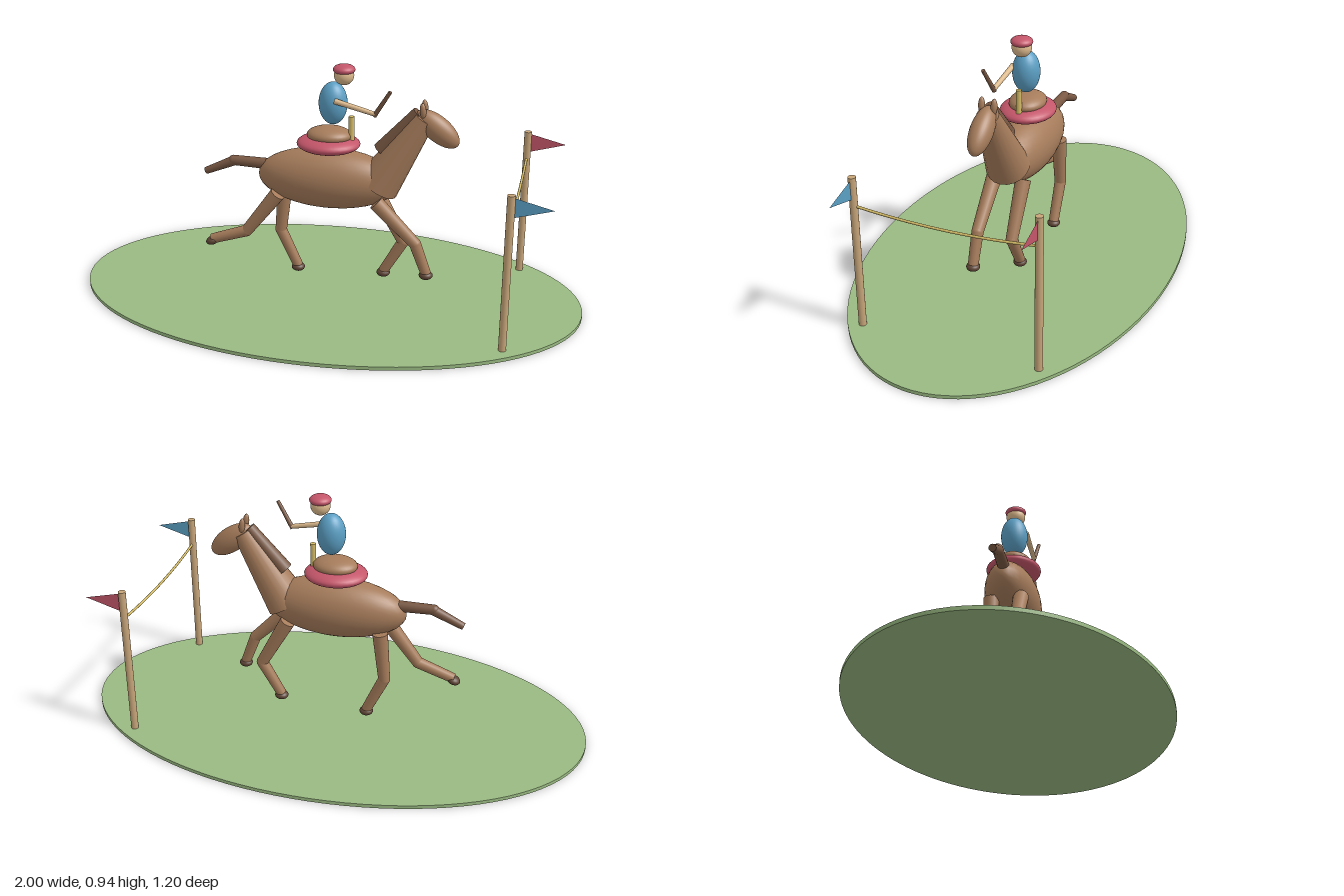
import * as THREE from 'three';

export function createModel() {
  const root = new THREE.Group();
  root.name = 'jumpingHorseScene';

  const mat = (name, color, side = THREE.FrontSide) => {
    const m = new THREE.MeshStandardMaterial({ color, side });
    m.name = name;
    return m;
  };
  const grass = mat('grass', 0x9aba82);
  const coat = mat('coat', 0xa67c5b);
  const darkHair = mat('darkHair', 0x795843);
  const hoofBrown = mat('hoofBrown', 0x5f4536);
  const red = mat('red', 0xc4566a, THREE.DoubleSide);
  const blue = mat('blue', 0x5b9fc4, THREE.DoubleSide);
  const skin = mat('skin', 0xdcb98c);
  const wood = mat('wood', 0xc8a67a);
  const yellow = mat('yellow', 0xd6bd68);

  const add = (parent, name, geo, material, pos = [0, 0, 0]) => {
    const m = new THREE.Mesh(geo, material);
    m.name = name;
    m.position.set(...pos);
    parent.add(m);
    return m;
  };
  const ellipsoid = (parent, name, material, pos, radii, tilt = 0) => {
    const m = add(parent, name, new THREE.SphereGeometry(1, 32, 20), material, pos);
    m.scale.set(...radii);
    m.rotation.z = tilt;
    return m;
  };
  // Tapered rod running from point a to point b
  const rod = (parent, name, material, a, b, ra, rb = ra) => {
    const A = new THREE.Vector3(...a), B = new THREE.Vector3(...b);
    const d = B.clone().sub(A);
    const m = add(parent, name, new THREE.CylinderGeometry(rb, ra, d.length(), 20), material);
    m.position.copy(A).addScaledVector(d, 0.5);
    m.quaternion.setFromUnitVectors(new THREE.Vector3(0, 1, 0), d.normalize());
    return m;
  };
  const group = (name) => {
    const g = new THREE.Group();
    g.name = name;
    root.add(g);
    return g;
  };

  // Oval ground
  const ground = add(root, 'ground', new THREE.CylinderGeometry(1, 1, 0.014, 96), grass, [0, 0.007, 0]);
  ground.scale.z = 0.6;

  // Horse body, neck and head
  const horse = group('horse');
  ellipsoid(horse, 'body', coat, [0, 0.485, 0], [0.28, 0.12, 0.105]);
  rod(horse, 'neck', coat, [0.195, 0.475, 0], [0.37, 0.755, 0], 0.085, 0.042);
  ellipsoid(horse, 'head', coat, [0.418, 0.717, 0], [0.1, 0.048, 0.042], -0.66);
  rod(horse, 'mane', darkHair, [0.205, 0.615, 0], [0.345, 0.775, 0], 0.032, 0.024);
  for (const s of [1, -1]) {
    ellipsoid(horse, 'ear', coat, [0.365, 0.79, s * 0.024], [0.012, 0.03, 0.012], 0.1);
  }

  // Tail
  rod(horse, 'tailBase', darkHair, [-0.25, 0.52, 0], [-0.385, 0.523, 0], 0.022, 0.02);
  ellipsoid(horse, 'tailJoint', darkHair, [-0.385, 0.523, 0], [0.02, 0.02, 0.02]);
  rod(horse, 'tailTip', darkHair, [-0.38, 0.522, 0], [-0.5, 0.468, 0], 0.02, 0.014);

  // Legs: hip, knee and foot in the x-y plane, then z
  const legs = [
    ['leftHindLeg', [-0.19, 0.42], [-0.32, 0.25], [-0.465, 0.2], 0.055, 0.35],
    ['rightHindLeg', [-0.19, 0.42], [-0.21, 0.22], [-0.14, 0.07], -0.055, 0],
    ['rightForeLeg', [0.18, 0.42], [0.29, 0.22], [0.212, 0.085], -0.055, 0],
    ['leftForeLeg', [0.2, 0.42], [0.355, 0.265], [0.4, 0.145], 0.055, 0],
  ];
  for (const [name, hip, knee, foot, z, tilt] of legs) {
    const leg = new THREE.Group();
    leg.name = name;
    horse.add(leg);
    rod(leg, 'thigh', coat, [...hip, z], [...knee, z], 0.03, 0.023);
    ellipsoid(leg, 'knee', coat, [...knee, z], [0.023, 0.023, 0.023]);
    rod(leg, 'shin', coat, [...knee, z], [...foot, z], 0.023, 0.02);
    ellipsoid(leg, 'hoof', hoofBrown, [foot[0], foot[1] - 0.007, z], [0.027, 0.017, 0.026], tilt);
  }

  // Saddle
  const saddle = group('saddle');
  ellipsoid(saddle, 'saddlePad', red, [0, 0.626, 0], [0.123, 0.035, 0.107]);
  ellipsoid(saddle, 'saddleSeat', coat, [0.003, 0.66, 0], [0.087, 0.034, 0.07]);
  rod(saddle, 'saddleHorn', yellow, [0.09, 0.63, 0], [0.09, 0.74, 0], 0.011);

  // Rider
  const rider = group('rider');
  ellipsoid(rider, 'torso', blue, [0.018, 0.788, 0], [0.055, 0.083, 0.053]);
  ellipsoid(rider, 'face', skin, [0.06, 0.9, 0], [0.038, 0.038, 0.038]);
  ellipsoid(rider, 'cap', red, [0.06, 0.922, 0], [0.042, 0.02, 0.042]);
  rod(rider, 'arm', skin, [0.035, 0.81, 0.046], [0.192, 0.774, 0.056], 0.011, 0.009);
  rod(rider, 'whip', darkHair, [0.188, 0.767, 0.055], [0.25, 0.868, 0.07], 0.009, 0.007);

  // Jump posts with pennants
  const jump = group('jump');
  const pennant = new THREE.Shape([
    new THREE.Vector2(0, 0.61), new THREE.Vector2(0, 0.53), new THREE.Vector2(0.15, 0.573),
  ]);
  for (const [side, s, colour] of [['left', 1, blue], ['right', -1, red]]) {
    rod(jump, side + 'Post', wood, [0.73, 0.01, s * 0.345], [0.73, 0.617, s * 0.345], 0.0145);
    add(jump, side + 'Pennant', new THREE.ShapeGeometry(pennant), colour, [0.73, 0, s * 0.345]);
  }

  // Sagging rope between the posts
  const rope = new THREE.QuadraticBezierCurve3(
    new THREE.Vector3(0.73, 0.505, 0.345), new THREE.Vector3(0.73, 0.465, 0), new THREE.Vector3(0.73, 0.505, -0.345));
  add(jump, 'rope', new THREE.TubeGeometry(rope, 32, 0.005, 8), yellow);

  return root;
}
